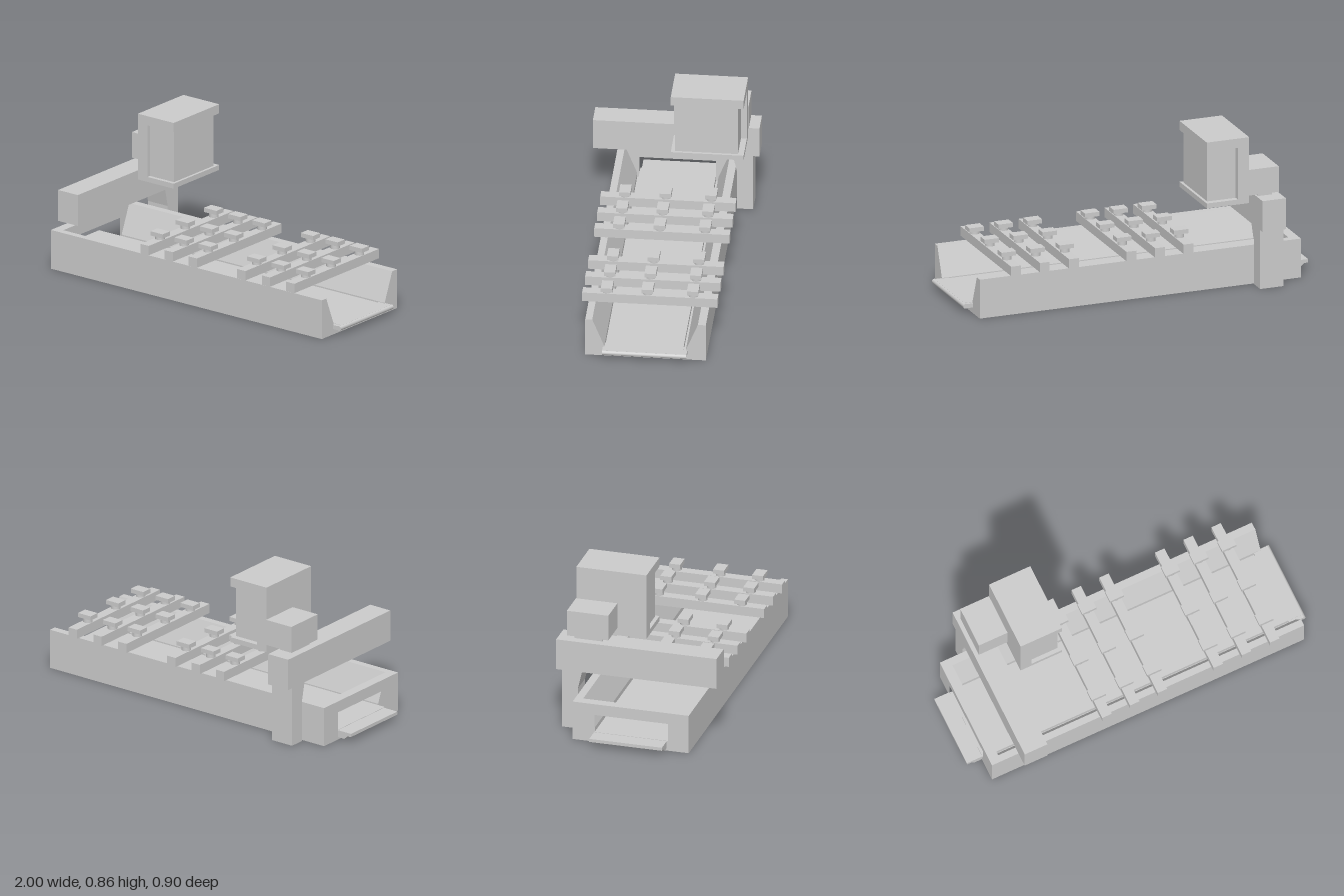
import * as THREE from 'three';

const grey = new THREE.MeshStandardMaterial({ color: 0xcccccc, flatShading: true });
const smooth = new THREE.MeshStandardMaterial({ color: 0xcccccc });

function add(parent, name, geometry, material = grey) {
  const mesh = new THREE.Mesh(geometry, material);
  mesh.name = name;
  parent.add(mesh);
  return mesh;
}

// box given by its limits on each axis
function box(parent, name, [x0, x1], [y0, y1], [z0, z1]) {
  const mesh = add(parent, name, new THREE.BoxGeometry(x1 - x0, y1 - y0, z1 - z0));
  mesh.position.set((x0 + x1) / 2, (y0 + y1) / 2, (z0 + z1) / 2);
  return mesh;
}

// outline of [z, y] points swept along x
function sweepX(parent, name, points, x0, x1, hole) {
  const flip = (list) => list.map(([z, y]) => new THREE.Vector2(-z, y));
  const shape = new THREE.Shape(flip(points));
  if (hole) shape.holes.push(new THREE.Path(flip(hole)));
  const geometry = new THREE.ExtrudeGeometry(shape, { depth: x1 - x0, bevelEnabled: false });
  geometry.rotateY(Math.PI / 2).translate(x0, 0, 0);
  return add(parent, name, geometry);
}

// outline of [x, y] points swept along z
function sweepZ(parent, name, points, z0, z1) {
  const shape = new THREE.Shape(points.map(([x, y]) => new THREE.Vector2(x, y)));
  const geometry = new THREE.ExtrudeGeometry(shape, { depth: z1 - z0, bevelEnabled: false });
  geometry.translate(0, 0, z0);
  return add(parent, name, geometry);
}

export function createModel() {
  const model = new THREE.Group();
  model.name = 'conveyorMachine';

  // trough with sloping inner walls, open at the left end
  const base = new THREE.Group();
  base.name = 'base';
  model.add(base);
  sweepX(base, 'trough', [
    [0.335, 0], [0.335, 0.22], [0.297, 0.22], [0.232, 0.058], [0.232, 0.03],
    [-0.207, 0.03], [-0.207, 0.058], [-0.272, 0.22], [-0.315, 0.22], [-0.315, 0],
  ], -0.855, 0.945);
  // end wall with a rectangular window
  sweepX(base, 'endWall',
    [[0.335, 0], [0.335, 0.22], [-0.315, 0.22], [-0.315, 0]], -0.91, -0.855,
    [[0.22, 0.03], [0.22, 0.157], [-0.192, 0.157], [-0.192, 0.03]]);

  // conveyor bed running through the trough and out of both ends
  const bed = new THREE.Group();
  bed.name = 'conveyorBed';
  model.add(bed);
  box(bed, 'bedPlate', [-0.91, 0.945], [0.03, 0.057], [-0.192, 0.22]);
  sweepZ(bed, 'inletLip', [
    [-1, 0.055], [-1, 0.037], [-0.975, 0.034], [-0.955, 0.015], [-0.91, 0.015], [-0.91, 0.055],
  ], -0.195, 0.212);
  box(bed, 'outletLip', [0.905, 0.99], [0.03, 0.057], [-0.195, 0.22]);
  for (const z of [-0.205, 0.23]) {
    box(bed, 'outletSide', [0.905, 0.985], [0.032, 0.055], [z - 0.01, z + 0.01]);
  }
  const roller = add(bed, 'outletRoller',
    new THREE.CylinderGeometry(0.0135, 0.0135, 0.455, 20).rotateX(Math.PI / 2), smooth);
  roller.position.set(0.9865, 0.0435, 0.0125);

  // cross bars, each with three padded supports
  const pads = [[0.235, 0.305], [0.016, 0.309], [-0.229, 0.312]];
  for (const x of [-0.242, -0.077, 0.088, 0.42, 0.588, 0.755]) {
    const bar = new THREE.Group();
    bar.name = 'supportBar';
    bar.position.x = x;
    model.add(bar);
    box(bar, 'crossBar', [-0.028, 0.028], [0.235, 0.288], [-0.362, 0.368]);
    for (const [z, y] of pads) {
      const neck = add(bar, 'padNeck',
        new THREE.CylinderGeometry(0.026, 0.026, y - 0.286, 24), smooth);
      neck.position.set(0, (y + 0.286) / 2, z);
      box(bar, 'pad', [-0.042, 0.042], [y, y + 0.024], [z - 0.031, z + 0.031]);
    }
  }

  // gantry: flared post beside the trough and a beam across it
  const gantry = new THREE.Group();
  gantry.name = 'gantry';
  model.add(gantry);
  sweepX(gantry, 'post', [
    [-0.327, 0], [-0.327, 0.235], [-0.305, 0.333], [-0.415, 0.333], [-0.415, 0],
  ], -0.77, -0.635);
  box(gantry, 'beam', [-0.77, -0.635], [0.333, 0.508], [-0.449, 0.449]);

  // carriage riding on the beam
  box(gantry, 'carriageFoot', [-0.725, -0.645], [0.508, 0.53], [-0.36, -0.205]);
  box(gantry, 'carriageArm', [-0.75, -0.578], [0.53, 0.675], [-0.395, -0.163]);

  // head: core held between a back plate, a cap and a sole
  const head = new THREE.Group();
  head.name = 'head';
  model.add(head);
  box(head, 'backPlate', [-0.58, -0.515], [0.515, 0.808], [-0.393, 0]);
  box(head, 'core', [-0.515, -0.35], [0.515, 0.808], [-0.361, -0.022]);
  box(head, 'cap', [-0.58, -0.335], [0.808, 0.86], [-0.393, 0]);
  box(head, 'sole', [-0.58, -0.335], [0.487, 0.515], [-0.393, 0]);

  return model;
}
